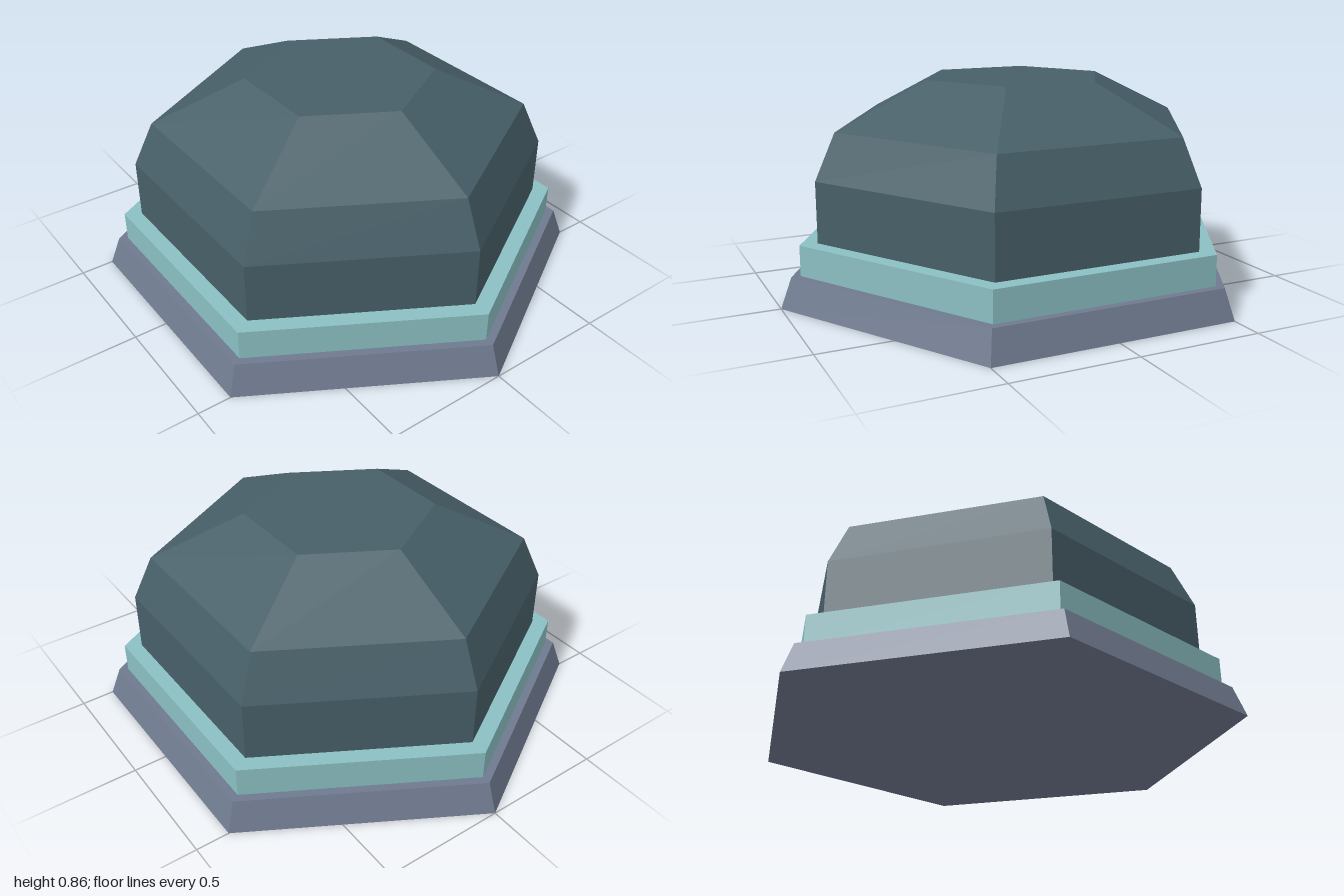
import * as THREE from 'three';
import { mergeGeometries } from 'three/addons/utils/BufferGeometryUtils.js';

function material(name, color) {
  const m = new THREE.MeshStandardMaterial({ color });
  m.name = name;
  return m;
}

// Faceted hexagonal solid stacked from [radius, y] rings, with corners on the x axis
function hexStack(name, rings, mat) {
  const last = rings.length - 2;
  const parts = [];
  for (let i = 0; i <= last; i++) {
    const [r0, y0] = rings[i];
    const [r1, y1] = rings[i + 1];
    const open = i !== 0 && i !== last;
    const g = new THREE.CylinderGeometry(r1, r0, y1 - y0, 6, 1, open, Math.PI / 6);
    parts.push(g.translate(0, (y0 + y1) / 2, 0).toNonIndexed());
  }
  const geometry = mergeGeometries(parts);
  geometry.computeVertexNormals();
  const mesh = new THREE.Mesh(geometry, mat);
  mesh.name = name;
  return mesh;
}

export function createModel() {
  const group = new THREE.Group();
  group.name = 'hexagonalDome';

  const slate = material('slate grey', 0x6f7a8f);
  const teal = material('pale teal', 0x8bbfc2);
  const dark = material('dark blue green', 0x475f68);

  group.add(
    // Sloped foot
    hexStack('base', [[1, 0], [0.955, 0.122]], slate),
    // Straight band above the foot
    hexStack('band', [[0.918, 0.122], [0.918, 0.245]], teal),
    // Wall, shoulder and shallow roof with a flat top
    hexStack('dome', [[0.846, 0.245], [0.846, 0.49], [0.763, 0.675], [0.382, 0.857]], dark),
  );
  return group;
}
